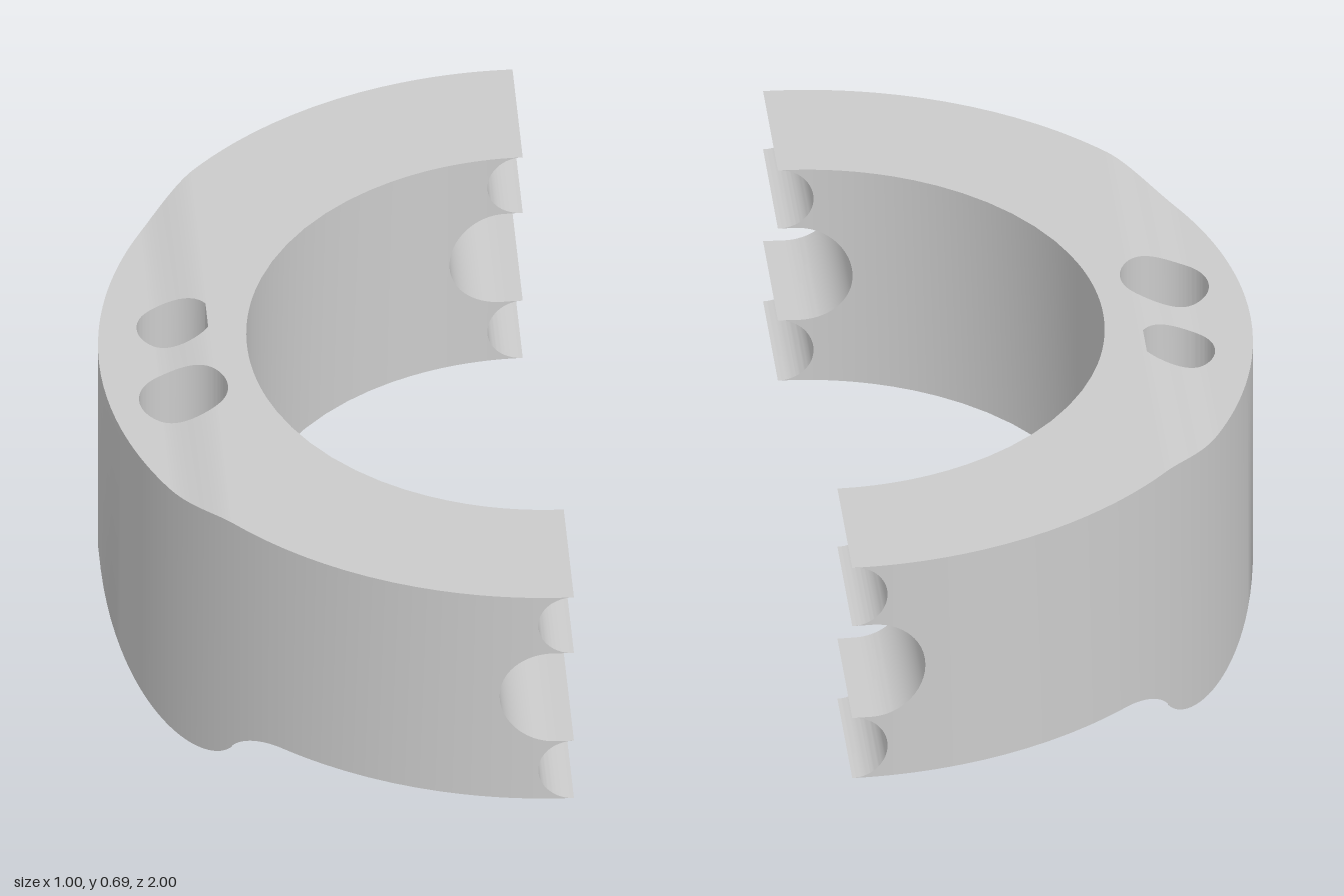
import * as THREE from 'three';
import { toCreasedNormals } from 'three/addons/utils/BufferGeometryUtils.js';

const CX = 0.5, OUTER = 1, INNER = 0.667; // ring axis and radii
const root = (v) => Math.sqrt(Math.max(0, v));
const chord = (r, d) => root(r * r - d * d); // half width of a circle at offset d

// vertical holes through the ring (the first one is cut flat at xMax)
const holes = [
  { x: -0.322, z: -0.122, r: 0.085, xMax: -0.249 },
  { x: -0.32, z: 0.148, r: 0.1, xMax: -0.22 },
];
// round grooves across the open ends
const grooves = [
  { x: 0.5, y: 0.215, r: 0.08 },
  { x: 0.456, y: 0.4175, r: 0.1225 },
  { x: 0.4975, y: 0.6175, r: 0.0775 },
];

// underside: rounded lip blending into a flat through a fillet
function bottom(x) {
  if (x < -0.247) return 0.135 - chord(0.135, x + 0.365);
  if (x < -0.14) return 0.013 + chord(0.122, x + 0.14);
  return 0.135;
}
// upper side: small smooth step
const top = (x) => 0.663 + 0.032 * THREE.MathUtils.smoothstep(x, -0.38, -0.24);

// solid spans at x, as pairs of edges; xm fixes which openings are present
function zEdges(x, xm) {
  const o = chord(OUTER, x - CX), edges = [-o];
  if (xm > CX - INNER) {
    const i = chord(INNER, x - CX);
    edges.push(-i, i);
  }
  for (const h of holes) {
    if (xm < h.x - h.r || xm > h.xMax) continue;
    const w = chord(h.r, x - h.x);
    edges.push(h.z - w, h.z + w);
  }
  return [...edges, o];
}
function yEdges(x, xm) {
  const edges = [bottom(x)];
  for (const g of grooves) {
    if (xm < g.x - g.r) continue;
    const w = chord(g.r, Math.min(0, x - g.x));
    edges.push(g.y - w, g.y + w);
  }
  return [...edges, top(x)];
}

function ringGeometry() {
  const pos = [];
  const tri = (a, b, c) => {
    const ab = new THREE.Vector3().subVectors(b, a), ac = new THREE.Vector3().subVectors(c, a);
    if (ab.cross(ac).length() > 1e-10) for (const p of [a, b, c]) pos.push(p.x, p.y, p.z);
  };
  const quad = (a, b, c, d) => { tri(a, b, c); tri(a, c, d); };
  const P = (x, y, z) => new THREE.Vector3(x, y, z);

  // stations where openings start or stop, finely spaced towards each one
  const breaks = [-0.5, -0.38, -0.365, -0.247, -0.24, -0.14, CX - INNER, CX];
  holes.forEach((h) => breaks.push(h.x - h.r, h.xMax));
  grooves.forEach((g) => breaks.push(g.x - g.r, g.x));
  const stations = [...new Set(breaks.map((b) => +b.toFixed(6)))].sort((a, b) => a - b);

  const N = 14;
  for (let s = 0; s + 1 < stations.length; s++) {
    const a = stations[s], b = stations[s + 1], xm = (a + b) / 2;
    const at = (k) => a + (b - a) * (1 - Math.cos((Math.PI * k) / N)) / 2;
    for (let k = 0; k < N; k++) {
      const x0 = at(k), x1 = at(k + 1);
      const ya = yEdges(x0, xm), yb = yEdges(x1, xm), za = zEdges(x0, xm), zb = zEdges(x1, xm);
      for (let i = 0; i < ya.length; i += 2) {
        for (let j = 0; j < za.length; j += 2) {
          const c0 = (u, v) => P(x0, ya[i + u], za[j + v]);
          const c1 = (u, v) => P(x1, yb[i + u], zb[j + v]);
          quad(c0(1, 0), c0(1, 1), c1(1, 1), c1(1, 0)); // up
          quad(c0(0, 0), c1(0, 0), c1(0, 1), c0(0, 1)); // down
          quad(c0(0, 1), c1(0, 1), c1(1, 1), c0(1, 1)); // +z
          quad(c0(0, 0), c0(1, 0), c1(1, 0), c1(0, 0)); // -z
        }
      }
    }
  }
  // flat wall closing the cut hole
  const h = holes[0], x = h.xMax, w = chord(h.r, x - h.x);
  quad(P(x, bottom(x), h.z - w), P(x, bottom(x), h.z + w), P(x, top(x), h.z + w), P(x, top(x), h.z - w));

  const geo = new THREE.BufferGeometry();
  geo.setAttribute('position', new THREE.Float32BufferAttribute(pos, 3));
  return toCreasedNormals(geo, 0.6);
}

export function createModel() {
  const group = new THREE.Group();
  group.name = 'halfRingClamp';
  const ring = new THREE.Mesh(ringGeometry(), new THREE.MeshStandardMaterial({ color: 0xcccccc }));
  ring.name = 'halfRing';
  group.add(ring);
  return group;
}
